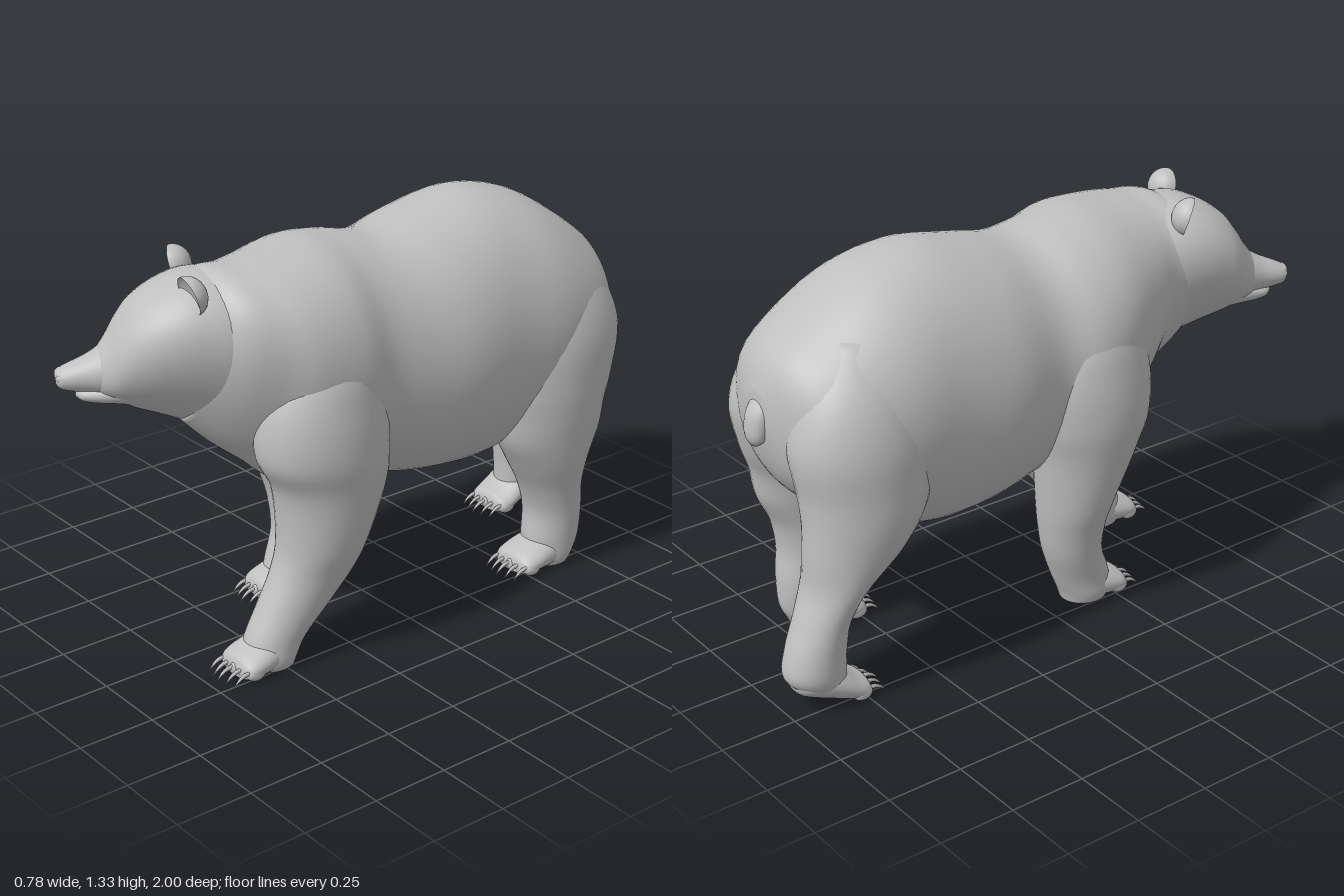
import * as THREE from 'three';

const fur = new THREE.MeshStandardMaterial({ color: 0xbfbfbf });
fur.name = 'grey fur';

// Catmull-Rom blend of one number
function spline(a, b, c, d, t) {
  return 0.5 * (2 * b + (c - a) * t + (2 * a - 5 * b + 4 * c - d) * t * t + (3 * b - a - 3 * c + d) * t ** 3);
}

// Smooth closed loft of ellipses. Each row is [position on axis, cx, c2, rx, r2, pinch].
// Axis 'z' rows run back to front, axis 'y' rows run top to bottom; pinch narrows the underside.
function loft(name, rows, { axis = 'z', sides = 32, steps = 5, floor = -1 } = {}) {
  const pos = [], index = [], rings = [];
  const full = rows.map(r => [...r, 0].slice(0, 6));
  for (let i = 0; i < full.length - 1; i++) {
    const q = [-1, 0, 1, 2].map(k => full[Math.min(full.length - 1, Math.max(0, i + k))]);
    for (let s = 0; s < steps; s++) rings.push(q[1].map((_, k) => spline(q[0][k], q[1][k], q[2][k], q[3][k], s / steps)));
  }
  rings.push(full[full.length - 1]);
  const put = (t, u, v) => axis === 'z' ? pos.push(u, Math.max(floor, v), t) : pos.push(u, t, v);
  for (const [t, cx, c2, rx, r2, pinch] of rings) {
    for (let j = 0; j < sides; j++) {
      const a = j / sides * Math.PI * 2;
      put(t, cx + rx * Math.cos(a) * (1 + pinch * Math.sin(a)), c2 + r2 * Math.sin(a));
    }
  }
  for (let i = 0; i < rings.length - 1; i++) {
    for (let j = 0; j < sides; j++) {
      const a = i * sides + j, b = i * sides + (j + 1) % sides;
      index.push(a, b, a + sides, b, b + sides, a + sides);
    }
  }
  // end caps
  const first = pos.length / 3, last = (rings.length - 1) * sides;
  for (const r of [rings[0], rings[rings.length - 1]]) put(r[0], r[1], r[2]);
  for (let j = 0; j < sides; j++) {
    const k = (j + 1) % sides;
    index.push(first, k, j, first + 1, last + j, last + k);
  }
  const g = new THREE.BufferGeometry();
  g.setAttribute('position', new THREE.Float32BufferAttribute(pos, 3));
  g.setIndex(index);
  g.computeVertexNormals();
  const mesh = new THREE.Mesh(g, fur);
  mesh.name = name;
  return mesh;
}

function ball(name, x, y, z, sx, sy, sz) {
  const mesh = new THREE.Mesh(new THREE.SphereGeometry(1, 20, 14), fur);
  mesh.name = name;
  mesh.position.set(x, y, z);
  mesh.scale.set(sx, sy, sz);
  return mesh;
}

// Paw from heel to toes, with five toes and curved claws
function paw(x, heel, toe, lift, width) {
  const g = new THREE.Group(), len = toe - heel;
  g.name = 'paw';
  g.add(loft('foot', [
    [heel, x, 0.045 + lift, width * 0.35, 0.025],
    [heel + len * 0.1, x, 0.047 + lift * 0.9, width * 0.7, 0.045],
    [heel + len * 0.45, x, 0.055 + lift * 0.45, width * 0.94, 0.06],
    [heel + len * 0.8, x, 0.042, width, 0.046],
    [heel + len * 0.95, x, 0.034, width * 0.85, 0.034],
    [toe, x, 0.028, width * 0.5, 0.016],
  ], { floor: 0.006 }));
  for (let i = -2; i <= 2; i++) {
    const tx = x + i * width * 0.38, tz = toe - 0.022 - Math.abs(i) * 0.009;
    g.add(ball('toe', tx, 0.03, tz, width * 0.23, 0.025, 0.034));
    g.add(loft('claw', [
      [tz + 0.015, tx, 0.038, 0.007, 0.008],
      [tz + 0.045, tx, 0.036, 0.006, 0.007],
      [tz + 0.068, tx, 0.024, 0.004, 0.005],
      [tz + 0.082, tx, 0.009, 0.001, 0.001],
    ], { sides: 8, steps: 2 }));
  }
  return g;
}

function leg(name, rows, ...pawArgs) {
  const g = new THREE.Group();
  g.name = name;
  g.add(loft('limb', rows, { axis: 'y', sides: 40 }), paw(...pawArgs));
  return g;
}

// Cupped ear: the front half of a flattened ball is folded inwards
function ear(side) {
  const geo = new THREE.SphereGeometry(1, 24, 20), p = geo.attributes.position;
  for (let i = 0; i < p.count; i++) {
    const z = p.getZ(i);
    p.setZ(i, z > 0 ? -z * 0.3 : z);
  }
  geo.scale(0.062, 0.062, 0.055);
  geo.computeVertexNormals();
  const mesh = new THREE.Mesh(geo, fur);
  mesh.name = side > 0 ? 'leftEar' : 'rightEar';
  mesh.position.set(side * 0.146, 1.232, 0.03);
  mesh.rotation.set(0.3, side * 0.3, -side * 0.15, 'YXZ');
  return mesh;
}

function head() {
  const g = new THREE.Group();
  g.name = 'head';
  g.add(loft('skull', [
    [-0.28, 0, 0.99, 0.1, 0.13, 0.2], [-0.14, 0, 0.99, 0.19, 0.25, 0.3], [0, 0, 1.02, 0.2, 0.243, 0.3],
    [0.1, 0, 1.025, 0.186, 0.21, 0.28], [0.18, 0, 1.015, 0.158, 0.17, 0.2], [0.225, 0, 1.0, 0.132, 0.132, 0.1],
    [0.26, 0, 0.98, 0.1, 0.097], [0.29, 0, 0.965, 0.068, 0.068], [0.305, 0, 0.955, 0.03, 0.03],
  ], { sides: 48 }));
  g.add(loft('muzzle', [
    [0.18, 0, 0.985, 0.1, 0.1], [0.26, 0, 0.975, 0.084, 0.08], [0.32, 0, 0.964, 0.062, 0.058],
    [0.375, 0, 0.957, 0.047, 0.042], [0.402, 0, 0.955, 0.037, 0.031], [0.415, 0, 0.955, 0.018, 0.016],
  ]));
  g.add(loft('lowerJaw', [
    [0.14, 0, 0.93, 0.11, 0.08], [0.24, 0, 0.912, 0.078, 0.046], [0.3, 0, 0.904, 0.057, 0.032],
    [0.34, 0, 0.903, 0.04, 0.022], [0.358, 0, 0.905, 0.016, 0.01],
  ]));
  g.add(ball('nose', 0, 0.967, 0.398, 0.032, 0.021, 0.02));
  for (const s of [-1, 1]) {
    g.add(ball('nostril', s * 0.022, 0.96, 0.402, 0.013, 0.013, 0.012));
    g.add(ball('eye', s * 0.063, 1.068, 0.238, 0.016, 0.009, 0.014));
    g.add(ear(s));
  }
  g.position.set(-0.03, 0, 0.62);
  g.rotation.y = -0.45;
  return g;
}

export function createModel() {
  const bear = new THREE.Group();
  bear.name = 'bear';

  // rump, belly, shoulders and neck
  bear.add(loft('torso', [
    [-0.93, 0, 0.91, 0.05, 0.07], [-0.89, -0.01, 0.895, 0.19, 0.185], [-0.8, 0, 0.88, 0.3, 0.278],
    [-0.6, 0, 0.88, 0.355, 0.404], [-0.4, 0, 0.87, 0.355, 0.46], [-0.2, 0.003, 0.86, 0.362, 0.44],
    [-0.02, 0.01, 0.86, 0.335, 0.405], [0.12, -0.01, 0.892, 0.345, 0.393], [0.25, 0.01, 0.91, 0.345, 0.39, 0.08],
    [0.4, 0.035, 0.92, 0.3, 0.366, 0.2], [0.5, 0.035, 0.955, 0.25, 0.32, 0.28], [0.6, 0.01, 0.99, 0.215, 0.273, 0.3],
    [0.69, -0.02, 0.99, 0.14, 0.18, 0.25],
  ], { sides: 64 }));
  bear.add(head());

  bear.add(loft('tail', [
    [1.0, 0, -0.87, 0.03, 0.02], [0.93, 0, -0.915, 0.046, 0.036], [0.87, 0, -0.93, 0.045, 0.036],
    [0.835, 0, -0.935, 0.036, 0.027], [0.815, 0, -0.937, 0.014, 0.012],
  ], { axis: 'y', sides: 20 }));

  bear.add(leg('leftForeleg', [
    [1.18, 0.13, 0.29, 0.07, 0.07], [1.0, 0.185, 0.31, 0.148, 0.16], [0.85, 0.205, 0.325, 0.17, 0.215],
    [0.7, 0.215, 0.325, 0.172, 0.225], [0.58, 0.215, 0.3, 0.157, 0.193], [0.4, 0.213, 0.325, 0.133, 0.155],
    [0.3, 0.203, 0.355, 0.112, 0.148], [0.2, 0.195, 0.42, 0.098, 0.13], [0.1, 0.19, 0.495, 0.088, 0.105],
    [0.04, 0.19, 0.52, 0.086, 0.09], [0.008, 0.19, 0.52, 0.075, 0.08],
  ], 0.19, 0.44, 0.66, 0, 0.088));
  bear.add(leg('rightForeleg', [
    [1.18, -0.13, 0.17, 0.07, 0.07], [1.0, -0.185, 0.15, 0.148, 0.16], [0.85, -0.207, 0.145, 0.17, 0.215],
    [0.7, -0.22, 0.145, 0.17, 0.21], [0.58, -0.217, 0.135, 0.157, 0.175], [0.4, -0.207, 0.105, 0.132, 0.127],
    [0.3, -0.197, 0.1, 0.112, 0.11], [0.2, -0.19, 0.11, 0.098, 0.1], [0.1, -0.183, 0.148, 0.088, 0.1],
    [0.04, -0.182, 0.165, 0.086, 0.09], [0.008, -0.182, 0.165, 0.075, 0.08],
  ], -0.18, 0.085, 0.305, 0, 0.088));
  bear.add(leg('leftHindLeg', [
    [1.15, 0.14, -0.62, 0.08, 0.09], [1.0, 0.17, -0.64, 0.15, 0.2], [0.85, 0.187, -0.645, 0.182, 0.25],
    [0.7, 0.2, -0.625, 0.174, 0.242], [0.6, 0.212, -0.615, 0.158, 0.215], [0.5, 0.217, -0.615, 0.143, 0.195],
    [0.4, 0.215, -0.62, 0.13, 0.145], [0.3, 0.21, -0.64, 0.11, 0.11], [0.2, 0.205, -0.66, 0.1, 0.1],
    [0.1, 0.205, -0.655, 0.092, 0.102], [0.04, 0.205, -0.645, 0.087, 0.085], [0.008, 0.205, -0.64, 0.075, 0.075],
  ], 0.205, -0.715, -0.475, 0, 0.09));
  bear.add(leg('rightHindLeg', [
    [1.15, -0.14, -0.66, 0.08, 0.09], [1.0, -0.17, -0.68, 0.15, 0.19], [0.85, -0.185, -0.69, 0.18, 0.232],
    [0.7, -0.197, -0.69, 0.172, 0.215], [0.6, -0.208, -0.705, 0.157, 0.195], [0.5, -0.208, -0.745, 0.14, 0.16],
    [0.4, -0.205, -0.81, 0.12, 0.1], [0.3, -0.205, -0.86, 0.1, 0.085], [0.2, -0.205, -0.888, 0.094, 0.096],
    [0.12, -0.205, -0.895, 0.09, 0.1], [0.06, -0.205, -0.865, 0.07, 0.07],
  ], -0.205, -0.975, -0.73, 0.065, 0.09));
  return bear;
}
